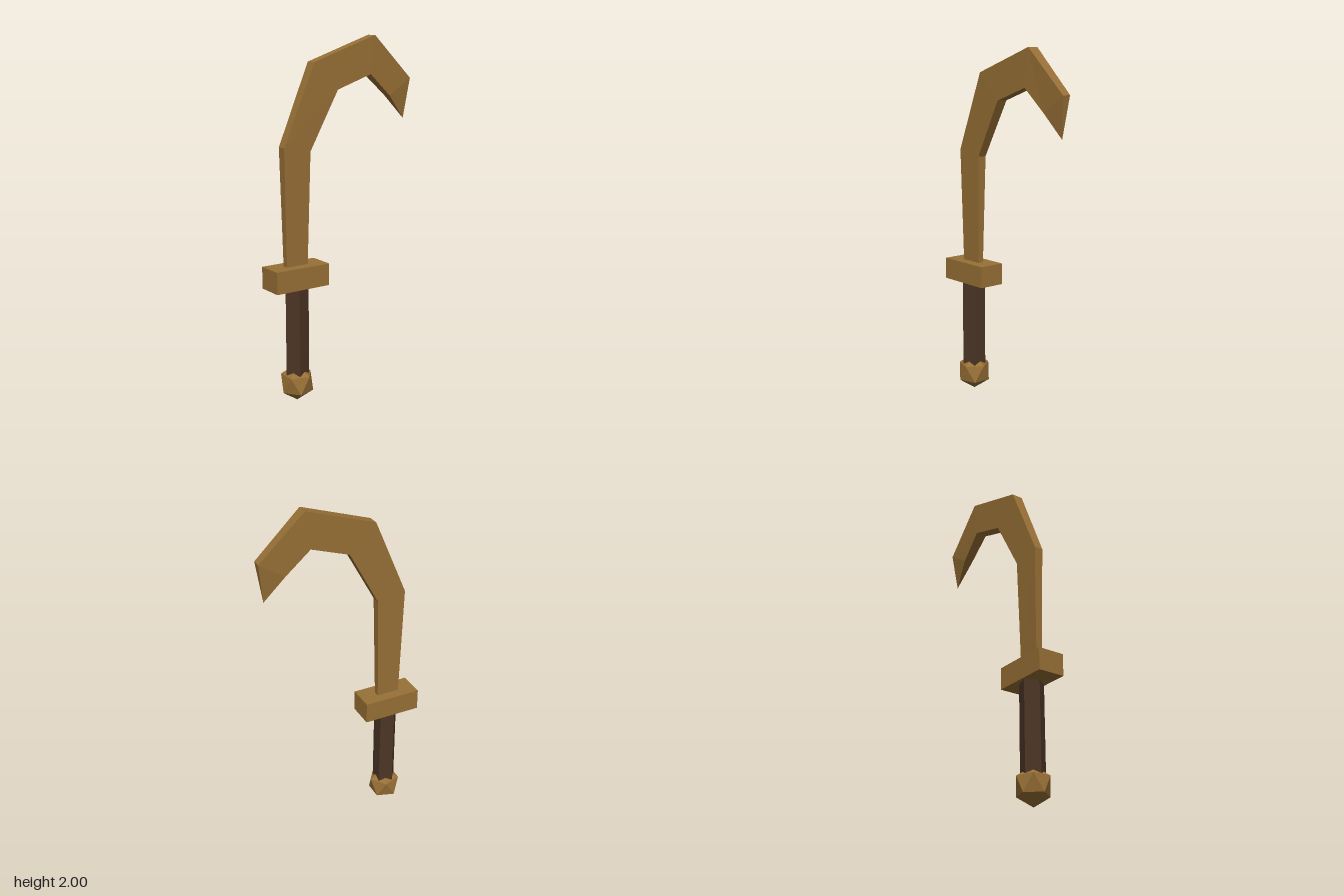
import * as THREE from 'three';
import { ConvexGeometry } from 'three/addons/geometries/ConvexGeometry.js';

const bronze = new THREE.MeshStandardMaterial({ name: 'bronze', color: 0x987036, flatShading: true });
const darkWood = new THREE.MeshStandardMaterial({ name: 'dark wood', color: 0x4c3526, flatShading: true });
const GRIP_X = -0.298;

// Hooked blade: rectangular sections [outerX, outerY, innerX, innerY, halfThickness] ending in a point
function bladeGeometry() {
  const sections = [
    [-0.365, 0.75, -0.233, 0.75, 0.017],
    [-0.38, 1.425, -0.215, 1.395, 0.026],
    [-0.19, 1.865, -0.04, 1.715, 0.032],
    [0.208, 2.0, 0.18, 1.79, 0.032],
    [0.463, 1.76, 0.32, 1.665, 0.025],
    [0.435, 1.533, 0.435, 1.533, 0],
  ].map(([ox, oy, ix, iy, h]) => [[ox, oy, h], [ix, iy, h], [ix, iy, -h], [ox, oy, -h]]);

  const positions = [];
  const triangle = (...points) => positions.push(...points.flat());
  for (let i = 0; i < sections.length - 1; i++) {
    const isTip = i === sections.length - 2;
    for (let j = 0; j < 4; j++) {
      const k = (j + 1) % 4;
      const a = sections[i][j], b = sections[i][k];
      const c = sections[i + 1][k], d = sections[i + 1][j];
      triangle(a, b, c);
      if (!isTip) triangle(a, c, d);
    }
  }
  // Closed base
  const [p, q, r, s] = sections[0];
  triangle(p, r, q);
  triangle(p, s, r);

  const geometry = new THREE.BufferGeometry();
  geometry.setAttribute('position', new THREE.Float32BufferAttribute(positions, 3));
  geometry.computeVertexNormals();
  return geometry;
}

// Twenty-sided pommel standing on one corner
function pommelGeometry() {
  const radius = 0.1, height = 0.106;
  const points = [new THREE.Vector3(0, height, 0), new THREE.Vector3(0, -height, 0)];
  for (const side of [1, -1]) {
    for (let i = 0; i < 5; i++) {
      const angle = (i * Math.PI * 2) / 5;
      const ring = side * radius * 0.894;
      points.push(new THREE.Vector3(ring * Math.cos(angle), side * height * 0.447, ring * Math.sin(angle)));
    }
  }
  return new ConvexGeometry(points);
}

export function createModel() {
  const group = new THREE.Group();
  group.name = 'hookedSword';

  const add = (name, geometry, material, x = 0, y = 0) => {
    const mesh = new THREE.Mesh(geometry, material);
    mesh.name = name;
    mesh.position.set(x, y, 0);
    group.add(mesh);
  };

  add('blade', bladeGeometry(), bronze);
  add('guard', new THREE.BoxGeometry(0.334, 0.122, 0.153), bronze, GRIP_X, 0.717);
  // Five-sided grip with one edge towards -x
  add('grip', new THREE.CylinderGeometry(0.068, 0.068, 0.56, 5, 1, false, -Math.PI / 2), darkWood, GRIP_X, 0.4);
  add('pommel', pommelGeometry(), bronze, GRIP_X, 0.106);
  return group;
}
